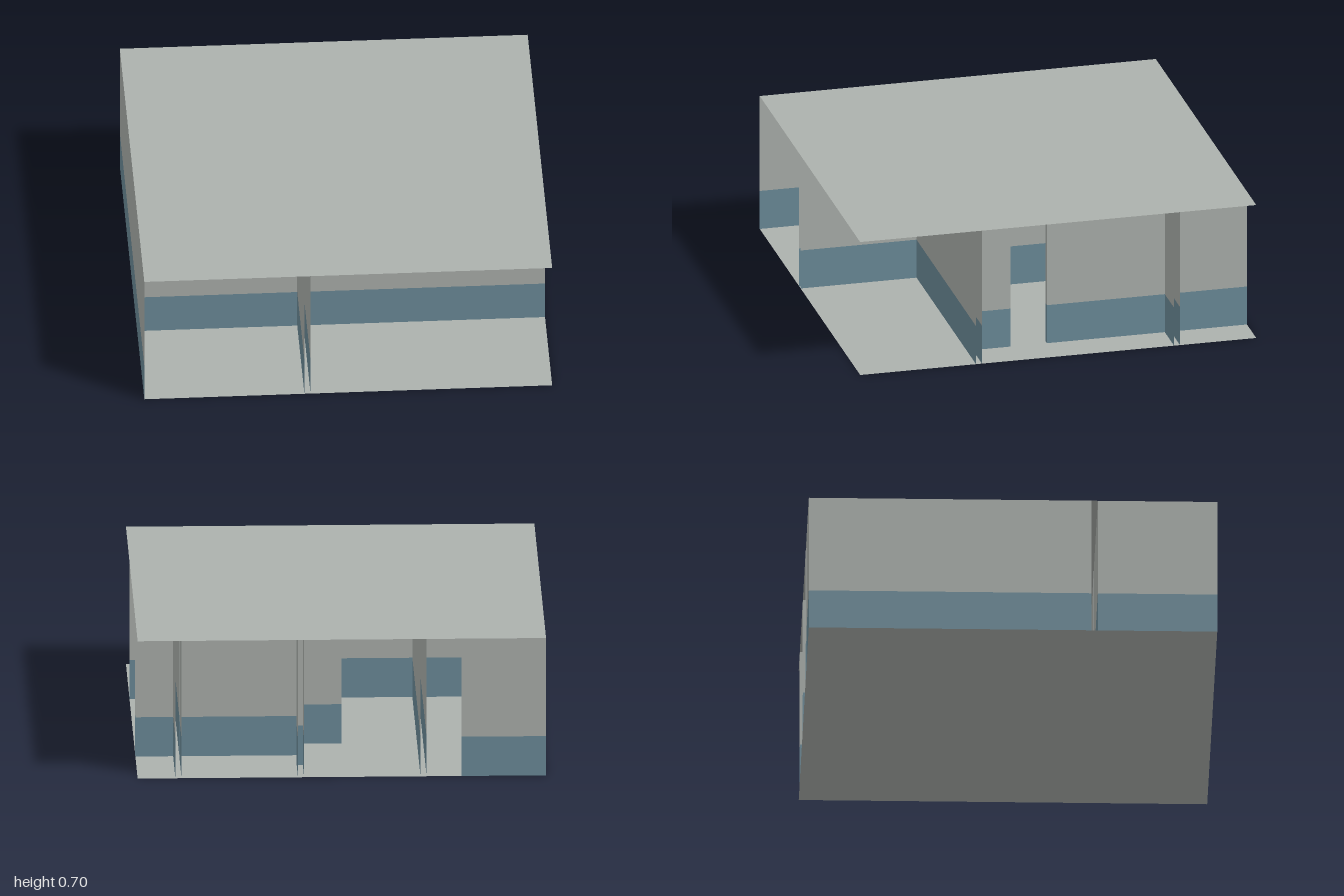
import * as THREE from 'three';

export function createModel() {
  const model = new THREE.Group();
  const plaster = new THREE.MeshStandardMaterial({ color: 0xacb1ad, side: THREE.DoubleSide });
  plaster.name = 'grey plaster';
  const dado = new THREE.MeshStandardMaterial({ color: 0x6c8c9a, side: THREE.DoubleSide });
  dado.name = 'blue dado';

  const HEIGHT = 0.7, DADO = 0.2;

  function add(parent, geometry, material, name) {
    const mesh = new THREE.Mesh(geometry, material);
    mesh.name = name;
    parent.add(mesh);
    return mesh;
  }

  // floor and ceiling slabs, paper thin
  for (const [name, y] of [['floor', 0], ['ceiling', HEIGHT]]) {
    add(model, new THREE.PlaneGeometry(2, 2).rotateX(-Math.PI / 2), plaster, name).position.y = y;
  }

  // upright panel between two plan points [x, z]
  function panel(parent, [x0, z0], [x1, z1], bottom, top, material, name) {
    const geometry = new THREE.PlaneGeometry(Math.hypot(x1 - x0, z1 - z0), top - bottom);
    const mesh = add(parent, geometry, material, name);
    mesh.position.set((x0 + x1) / 2, (bottom + top) / 2, (z0 + z1) / 2);
    mesh.rotation.y = -Math.atan2(z1 - z0, x1 - x0);
  }

  // wall faces of each room as plan runs; neighbouring rooms leave a 0.03 cavity
  const rooms = {
    frontLeftBay: [[-1, 1], [-1, 0.415], [-0.215, 0.415], [-0.215, 1]],
    frontRightBay: [[-0.185, 1], [-0.185, 0.415], [1, 0.415]],
    // porch and hall, joined through the doorway
    hallAndPorch: [
      [1, 0.385], [0.815, 0.385], [0.815, 0.195], [0.785, 0.195], [0.785, 0.385],
      [0.015, 0.385], [0.015, -0.385], [0.215, -0.385], [0.215, -0.585],
      [0.785, -0.585], [0.785, 0.01], [0.815, 0.01], [0.815, -0.585], [1, -0.585],
    ],
    backCorner: [[1, -0.615], [0.815, -0.615], [0.815, -1]],
    backRooms: [
      [0.785, -1], [0.785, -0.615], [0.185, -0.615], [0.185, -0.415],
      [-0.015, -0.415], [-0.015, 0.385], [-0.385, 0.385], [-0.385, -1],
    ],
    backPartition: [[0.215, -1], [0.215, -0.785], [0.185, -0.785], [0.185, -1]],
    sideRoom: [[-0.415, -1], [-0.415, 0.385], [-1, 0.385], [-1, -1], [-0.585, -1]],
  };

  for (const [name, run] of Object.entries(rooms)) {
    const room = new THREE.Group();
    room.name = name;
    for (let i = 1; i < run.length; i++) {
      panel(room, run[i - 1], run[i], 0, DADO, dado, 'lowerWall');
      panel(room, run[i - 1], run[i], DADO, HEIGHT, plaster, 'upperWall');
    }
    model.add(room);
  }

  return model;
}
